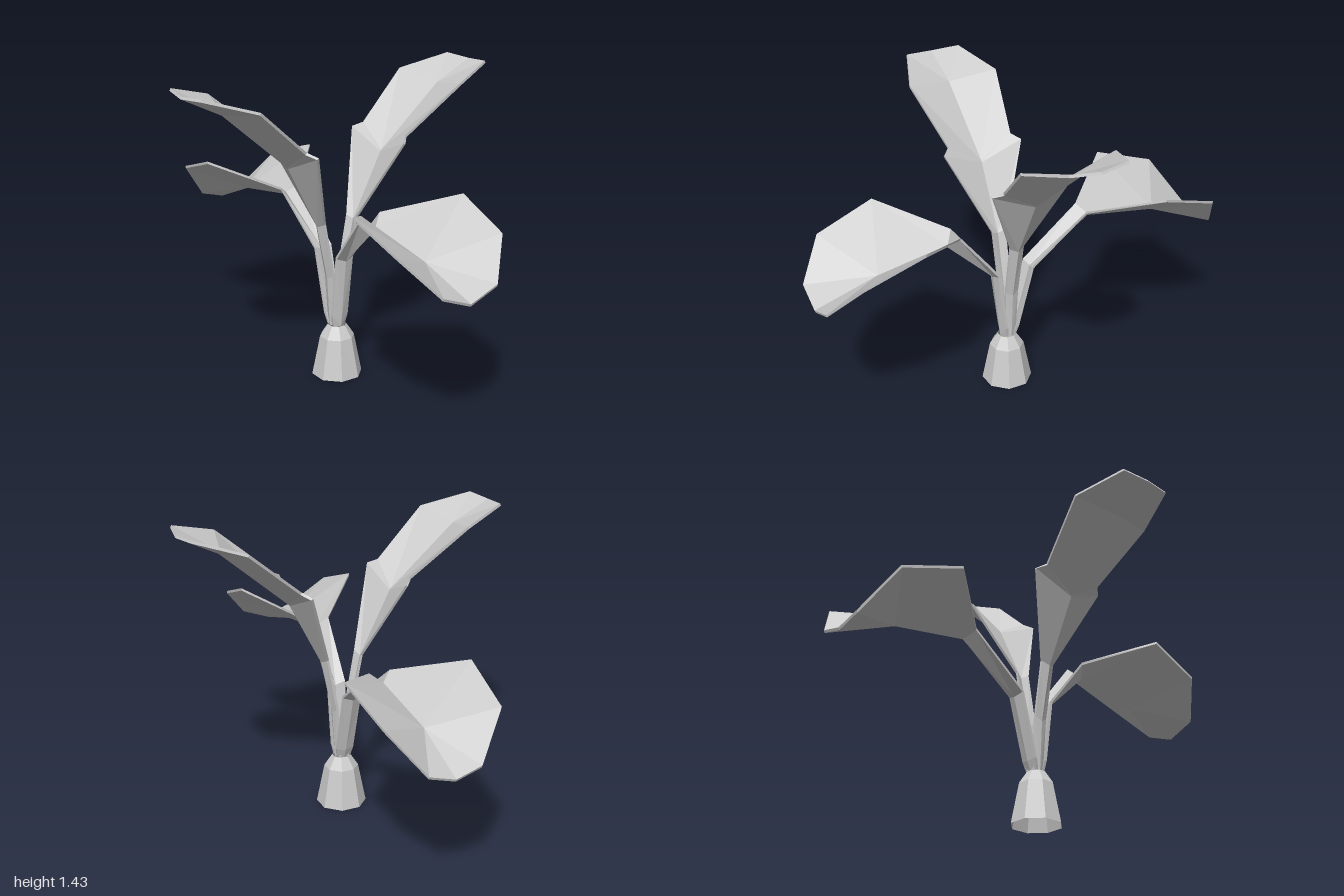
import * as THREE from 'three';

const THICKNESS = 0.012;
const AXIS_Z = 0.065;

// Lofts a V-folded leaf with its stem along +z.
// Each row: [rim reach, rim height, half width, keel reach, keel height]
function leafGeometry(rows) {
  const sections = rows.map(([er, ey, w, kr, ky], i) => {
    const prev = rows[Math.max(i - 1, 0)];
    const next = rows[Math.min(i + 1, rows.length - 1)];
    const dr = next[3] - prev[3], dy = next[4] - prev[4];
    const len = Math.hypot(dr, dy) || 1;
    const nz = -dy / len * THICKNESS, ny = dr / len * THICKNESS;
    return [
      [-w, ey, er], [0, ky + ny, kr + nz], [w, ey, er],
      [w, ey - ny, er - nz], [0, ky, kr], [-w, ey - ny, er - nz],
    ];
  });
  const positions = sections.flat(2);
  const index = [];
  for (let i = 0; i < rows.length - 1; i++) {
    for (let j = 0; j < 6; j++) {
      const k = (j + 1) % 6;
      const a = i * 6 + j, b = i * 6 + k, c = a + 6, d = b + 6;
      // Mirror the diagonals about the keel
      if (j % 3 === 1) index.push(a, c, d, a, d, b);
      else index.push(a, c, b, c, d, b);
    }
  }
  // End caps
  const e = (rows.length - 1) * 6;
  for (const [p, q, r, s] of [[0, 5, 4, 1], [1, 4, 3, 2]]) {
    index.push(e + p, e + q, e + r, e + p, e + r, e + s);
    index.push(p, r, q, p, s, r);
  }
  const indexed = new THREE.BufferGeometry();
  indexed.setAttribute('position', new THREE.Float32BufferAttribute(positions, 3));
  indexed.setIndex(index);
  const geometry = indexed.toNonIndexed();
  geometry.computeVertexNormals();
  return geometry;
}

const FRONT_LEAF = [
  [0.015, 0.25, 0.033, 0.042, 0.245],
  [0.022, 0.30, 0.043, 0.048, 0.29],
  [0.06, 0.60, 0.045, 0.079, 0.578],
  [0.261, 0.855, 0.05, 0.304, 0.797],
  [0.535, 0.968, 0.29, 0.64, 0.738],
  [0.81, 0.87, 0.27, 0.64, 0.738],
  [0.935, 0.715, 0.14, 0.935, 0.65],
];
const BACK_LEAF = [
  [0.01, 0.25, 0.033, 0.028, 0.245],
  [0.025, 0.30, 0.043, 0.045, 0.29],
  [0.105, 0.60, 0.045, 0.125, 0.578],
  [0.391, 0.82, 0.05, 0.43, 0.77],
  [0.665, 0.925, 0.295, 0.795, 0.71],
  [0.96, 0.83, 0.265, 0.795, 0.71],
  [1.065, 0.645, 0.12, 1.065, 0.60],
];
const SIDE_LEAF = [
  [0.012, 0.25, 0.028, 0.035, 0.245],
  [0.03, 0.50, 0.032, 0.05, 0.48],
  [0.08, 0.76, 0.035, 0.105, 0.74],
  [0.225, 1.125, 0.197, 0.256, 1.037],
  [0.262, 1.147, 0.16, 0.258, 1.04],
  [0.52, 1.365, 0.222, 0.578, 1.318],
  [0.74, 1.43, 0.135, 0.765, 1.41],
];

export function createModel() {
  const model = new THREE.Group();
  model.name = 'plant';
  const grey = new THREE.MeshStandardMaterial({ color: 0xcccccc, flatShading: true, side: THREE.DoubleSide });
  grey.name = 'plain grey';

  // Hollow eight-sided root collar, flat side to the front
  const toCorner = 1 / Math.cos(Math.PI / 8);
  const profile = [[0.11, 0], [0.075, 0.19], [0.04, 0.247]]
    .map(([r, y]) => new THREE.Vector2(r * toCorner, y));
  const collar = new THREE.Mesh(new THREE.LatheGeometry(profile, 8, Math.PI / 8), grey);
  collar.name = 'rootCollar';
  collar.position.z = 0.073;
  model.add(collar);

  // Four leaves spreading from the collar
  const leaves = [
    ['frontLeaf', FRONT_LEAF, 0],
    ['leftLeaf', SIDE_LEAF, Math.PI / 2],
    ['backLeaf', BACK_LEAF, Math.PI],
    ['rightLeaf', SIDE_LEAF, -Math.PI / 2],
  ];
  for (const [name, rows, yaw] of leaves) {
    const leaf = new THREE.Mesh(leafGeometry(rows), grey);
    leaf.name = name;
    leaf.rotation.y = yaw;
    leaf.position.z = AXIS_Z;
    model.add(leaf);
  }
  return model;
}
